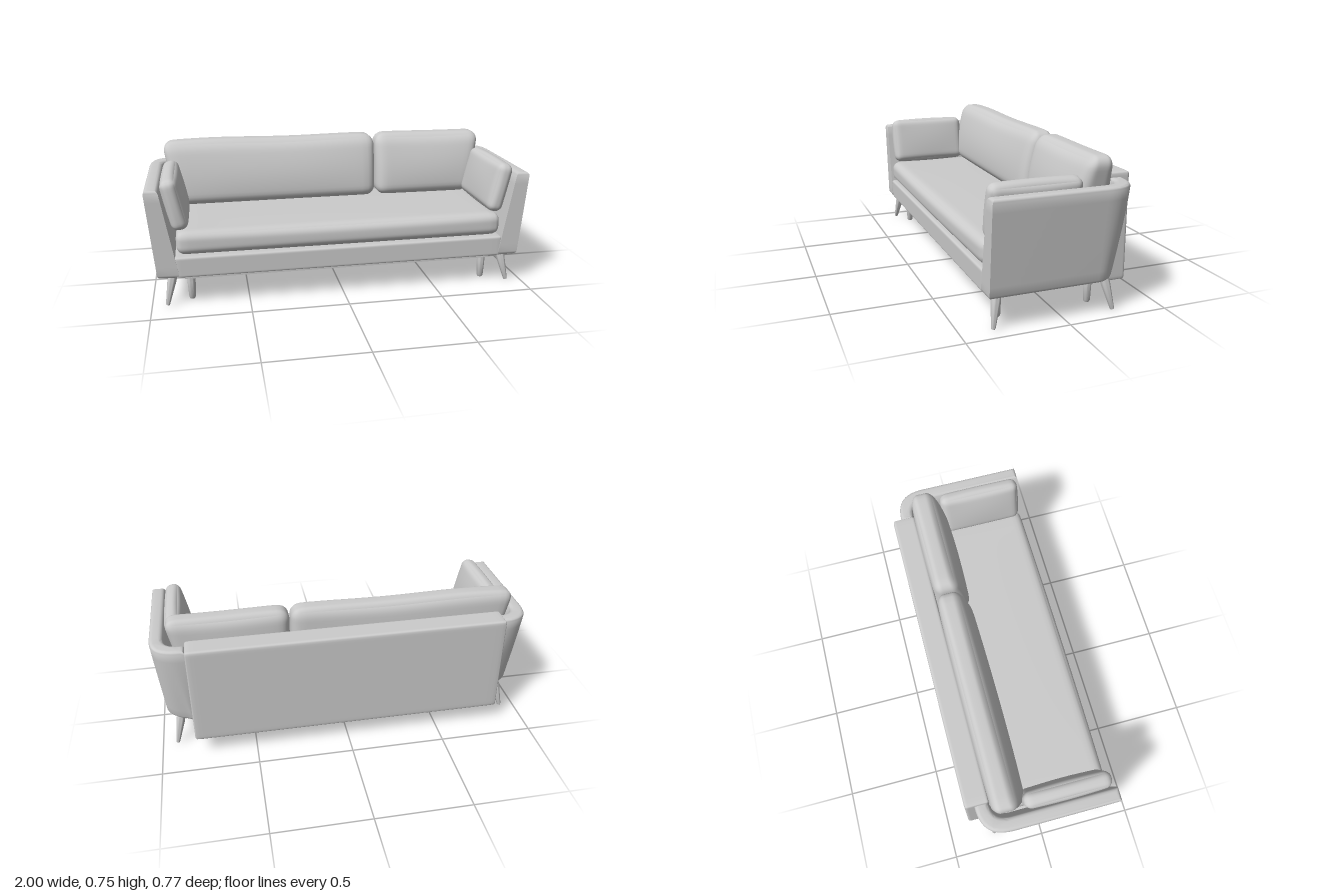
import * as THREE from 'three';
import { mergeVertices, toCreasedNormals } from 'three/addons/utils/BufferGeometryUtils.js';

const material = new THREE.MeshStandardMaterial({ color: 0xcccccc });
const { clamp, lerp, smoothstep } = THREE.MathUtils;

// Moves every vertex of a geometry by a rule
function warp(geometry, rule) {
  const pos = geometry.attributes.position;
  const v = new THREE.Vector3();
  for (let i = 0; i < pos.count; i++) {
    rule(v.fromBufferAttribute(pos, i));
    pos.setXYZ(i, v.x, v.y, v.z);
  }
  return geometry;
}

// Soft block with rounded edges; puff is how far each face bulges along x, y and z
function cushion(size, radius, puff = [0, 0, 0]) {
  const box = new THREE.BoxGeometry(2, 2, 2, 24, 24, 24);
  box.deleteAttribute('uv');
  box.deleteAttribute('normal');
  const half = new THREE.Vector3(...size).multiplyScalar(0.5);
  const core = half.clone().subScalar(radius);
  const inner = new THREE.Vector3();
  warp(box, (v) => {
    // crowd the vertices towards the edges
    const u = v.toArray().map((c) => Math.sin((c * Math.PI) / 2));
    v.set(...u).multiply(half);
    inner.copy(v).clamp(core.clone().negate(), core);
    v.sub(inner).setLength(radius).add(inner);
    const f = u.map((c) => 1 - c * c);
    v.x += u[0] * puff[0] * f[1] * f[2];
    v.y += u[1] * puff[1] * f[0] * f[2];
    v.z += u[2] * puff[2] * f[0] * f[1];
  });
  return mergeVertices(box, 1e-5);
}

export function createModel() {
  const sofa = new THREE.Group();
  sofa.name = 'sofa';

  function add(name, geometry, position = [0, 0, 0]) {
    const mesh = new THREE.Mesh(geometry, material);
    mesh.name = name;
    mesh.position.set(...position);
    sofa.add(mesh);
    return mesh;
  }
  function addSoft(name, size, radius, position, puff) {
    const geometry = cushion(size, radius, puff);
    geometry.computeVertexNormals();
    return add(name, geometry, position);
  }
  function addLeg(name, top, bottom, rTop, rBottom) {
    const a = new THREE.Vector3(...top);
    const b = new THREE.Vector3(...bottom);
    const axis = a.clone().sub(b);
    const h = axis.length();
    const profile = [[0, 0], [rBottom * 0.75, 0], [rBottom, 0.008], [rTop, h * 0.75], [rTop, h], [0, h]];
    const lathe = new THREE.LatheGeometry(profile.map((p) => new THREE.Vector2(...p)), 20);
    const leg = add(name, toCreasedNormals(lathe, 0.7), bottom);
    leg.quaternion.setFromUnitVectors(new THREE.Vector3(0, 1, 0), axis.normalize());
  }

  // Base, seat and the separate back panel
  addSoft('baseRail', [1.74, 0.11, 0.645], 0.012, [0, 0.21, 0.0525]);
  addSoft('seatCushion', [1.72, 0.125, 0.635], 0.045, [0, 0.333, 0.0575], [0, 0.006, 0.008]);
  addSoft('backPanel', [1.66, 0.545, 0.125], 0.015, [-0.01, 0.3675, -0.3225]);
  add('underFrame', new THREE.BoxGeometry(1.66, 0.04, 0.51), [0, 0.138, 0.045]);

  // Back cushions: thinner towards the top, outer ends flaring outwards
  for (const [name, x0, x1] of [['wideBackCushion', -0.925, 0.275], ['narrowBackCushion', 0.282, 0.915]]) {
    const geometry = cushion([x1 - x0, 0.35, 0.19], 0.06, [0, 0.006, 0.012]);
    geometry.translate((x0 + x1) / 2, 0.565, -0.165);
    warp(geometry, (v) => {
      const t = clamp((v.y - 0.39) / 0.35, 0, 1);
      v.z = -0.26 + (v.z + 0.26) * (1 - 0.36 * t * t);
      v.x -= Math.sign(v.x) * 0.07 * (1 - t) * smoothstep(Math.abs(v.x), 0.6, 0.93);
      v.y += 0.004 * Math.sin(v.x * 7) * t;
    });
    geometry.computeVertexNormals();
    add(name, geometry);
  }

  for (const s of [1, -1]) {
    const side = s > 0 ? 'left' : 'right';

    // Arm: L-shaped plan curling round the back corner, leaning outwards
    const plan = new THREE.Shape();
    plan.moveTo(s * 1, -0.377);
    plan.lineTo(s * 1, 0.17);
    plan.bezierCurveTo(s * 1, 0.28, s * 0.96, 0.337, s * 0.84, 0.337);
    plan.lineTo(s * 0.82, 0.337);
    plan.lineTo(s * 0.82, 0.268);
    plan.bezierCurveTo(s * 0.89, 0.268, s * 0.93, 0.25, s * 0.93, 0.17);
    plan.lineTo(s * 0.93, -0.377);
    const bevel = 0.02;
    const arm = new THREE.ExtrudeGeometry(plan, {
      depth: 0.465 - 2 * bevel, steps: 10, curveSegments: 14,
      bevelEnabled: true, bevelSize: bevel, bevelThickness: bevel, bevelOffset: -bevel, bevelSegments: 4,
    });
    arm.rotateX(-Math.PI / 2).translate(0, 0.155 + bevel, 0);
    warp(arm, (v) => {
      const t = clamp((0.62 - v.y) / 0.465, 0, 1);
      const x = Math.abs(v.x);
      const inward = clamp((1 - x) / 0.07, 0, 1);
      const shift = lerp(0.04, 0.08, inward) * t * smoothstep(x, 0.8, 0.93);
      v.x = s * (x - shift);
      v.z += 0.045 * t ** 1.6 * smoothstep(-v.z, 0.1, 0.3);
    });
    add(side + 'Arm', toCreasedNormals(arm, 0.7));

    // Cushion leaning on the arm
    const pad = addSoft(side + 'ArmCushion', [0.085, 0.265, 0.45], 0.036, [s * 0.857, 0.528, 0.13], [0.012, 0.006, 0.006]);
    pad.rotation.z = -s * 0.22;

    // Splayed legs under the arm, straight legs under the frame
    addLeg(side + 'FrontLeg', [s * 0.885, 0.165, 0.315], [s * 0.922, 0, 0.345], 0.023, 0.011);
    addLeg(side + 'BackLeg', [s * 0.885, 0.165, -0.225], [s * 0.922, 0, -0.26], 0.023, 0.011);
    addLeg(side + 'FrontFrameLeg', [s * 0.797, 0.125, 0.28], [s * 0.797, 0, 0.28], 0.021, 0.017);
    addLeg(side + 'BackFrameLeg', [s * 0.797, 0.125, -0.19], [s * 0.797, 0, -0.19], 0.021, 0.017);
  }
  return sofa;
}
